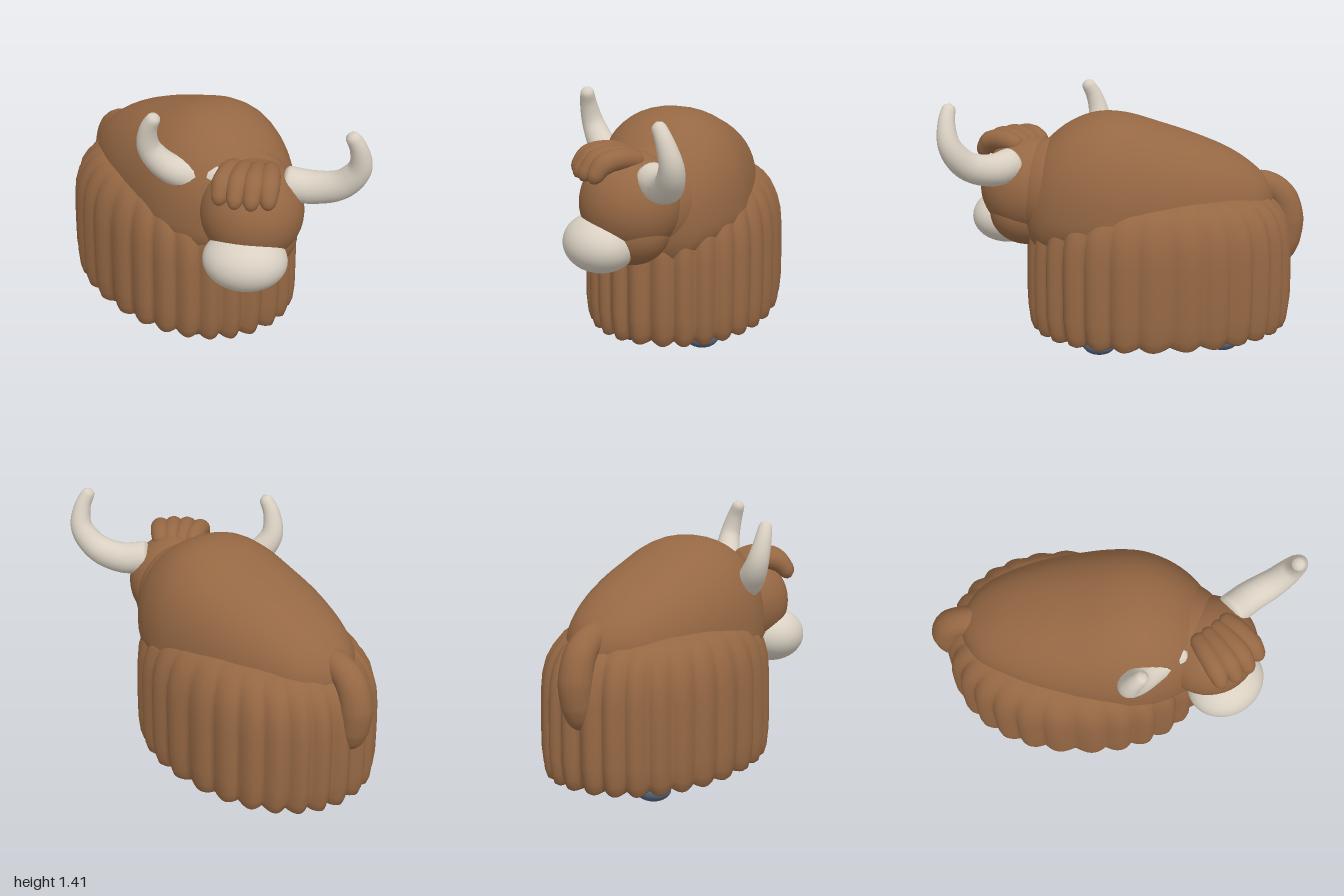
import * as THREE from 'three';
import { mergeVertices } from 'three/addons/utils/BufferGeometryUtils.js';

const mat = (name, color) => {
  const m = new THREE.MeshStandardMaterial({ color });
  m.name = name;
  return m;
};

// Weld and smooth a geometry
function smooth(geo) {
  geo.deleteAttribute('uv');
  geo.deleteAttribute('normal');
  const g = mergeVertices(geo, 1e-5);
  g.computeVertexNormals();
  return g;
}

// Skin over rows of closed rings; point(i, angle) returns [x, y, z]
function loft(rows, sides, point) {
  const pos = [], idx = [];
  for (let i = 0; i < rows; i++) {
    for (let j = 0; j < sides; j++) {
      pos.push(...point(i, (j / sides) * Math.PI * 2));
      if (i === rows - 1) continue;
      const k = (j + 1) % sides, a = i * sides + j, c = i * sides + k;
      idx.push(a, a + sides, c, c, a + sides, c + sides);
    }
  }
  const g = new THREE.BufferGeometry();
  g.setAttribute('position', new THREE.Float32BufferAttribute(pos, 3));
  g.setIndex(idx);
  return smooth(g);
}

// Tube whose radius follows a list of values, with rounded ends
function taperedTube(points, radii, cap = 0.08) {
  const path = new THREE.CatmullRomCurve3(points.map(p => new THREE.Vector3(...p)));
  const segs = 48, sides = 18;
  const geo = new THREE.TubeGeometry(path, segs, 1, sides);
  const pos = geo.attributes.position, v = new THREE.Vector3();
  for (let i = 0; i <= segs; i++) {
    const t = i / segs, f = t * (radii.length - 1), k = Math.min(Math.floor(f), radii.length - 2);
    const end = Math.max(0, 1 - Math.min(t, 1 - t) / cap);
    const r = THREE.MathUtils.lerp(radii[k], radii[k + 1], f - k) * Math.sqrt(1 - end * end);
    const c = path.getPointAt(t);
    for (let j = 0; j <= sides; j++) {
      const n = i * (sides + 1) + j;
      v.fromBufferAttribute(pos, n).sub(c).multiplyScalar(r).add(c);
      pos.setXYZ(n, v.x, v.y, v.z);
    }
  }
  return smooth(geo);
}

export function createModel() {
  const model = new THREE.Group();
  model.name = 'shaggyOx';
  const fur = mat('brown fur', 0x966844);
  const cream = mat('cream horn', 0xd9d0c2);
  const slate = mat('slate hoof', 0x56657a);

  const add = (name, geo, material, parent = model) => {
    const m = new THREE.Mesh(geo, material);
    m.name = name;
    parent.add(m);
    return m;
  };
  const ball = (name, material, center, radii, parent = model) => {
    const m = add(name, new THREE.SphereGeometry(1, 40, 28), material, parent);
    m.position.set(...center);
    m.scale.set(...radii);
    return m;
  };

  // Humped back: stations of x, top height, half width
  const spine = new THREE.CatmullRomCurve3([
    [-0.84, 0.82, 0.0], [-0.78, 0.94, 0.14], [-0.7, 1.02, 0.23], [-0.58, 1.1, 0.295],
    [-0.4, 1.18, 0.36], [-0.2, 1.25, 0.4], [0, 1.31, 0.42], [0.15, 1.315, 0.415],
    [0.3, 1.26, 0.37], [0.42, 1.165, 0.3], [0.5, 1.05, 0.22], [0.55, 0.93, 0.12], [0.57, 0.82, 0],
  ].map(p => new THREE.Vector3(...p)));
  const pow = v => Math.sign(v) * Math.abs(v) ** 0.88;
  add('back', loft(61, 48, (i, a) => {
    const s = spine.getPoint(i / 60), sn = Math.sin(a);
    const h = sn > 0 ? s.y - 0.8 : Math.min(0.25, s.z);
    return [s.x, 0.8 + h * pow(sn), Math.max(s.z, 0) * pow(Math.cos(a))];
  }), fur);

  // Hanging coat: profile of scale, height, lock depth, from inner ceiling to outer top
  const profile = [
    [0, 0.5, 0, 0], [0.6, 0.5, 0, 0], [0.84, 0.44, 0.6, 0], [0.89, 0.3, 1, 0], [0.89, 0.18, 1, 0.5],
    [0.905, 0.14, 1, 1], [0.93, 0.128, 1, 1], [0.96, 0.14, 1, 1], [0.985, 0.18, 1, 0.6], [1, 0.26, 1, 0],
    [1, 0.42, 1, 0], [0.995, 0.56, 0.9, 0], [0.98, 0.66, 0.8, 0], [0.945, 0.74, 0.7, 0],
    [0.89, 0.8, 0.5, 0], [0.82, 0.85, 0.25, 0], [0.72, 0.89, 0, 0], [0.5, 0.9, 0, 0],
  ];
  const superPow = v => Math.sign(v) * Math.abs(v) ** 0.92;
  add('hangingCoat', loft(profile.length, 280, (i, a) => {
    const [s, y, depth, dip] = profile[i];
    const lock = Math.abs(Math.sin(a * 14));
    const r = s * (1 - 0.05 * depth * (1 - lock));
    return [-0.19 + 0.74 * r * superPow(Math.cos(a)), y - 0.022 * dip * lock, 0.53 * r * superPow(Math.sin(a))];
  }), fur);

  // Tail
  add('tail', taperedTube(
    [[-0.66, 0.9, 0], [-0.77, 0.9, 0], [-0.87, 0.83, 0], [-0.912, 0.7, 0], [-0.905, 0.56, 0], [-0.88, 0.44, 0]],
    [0.06, 0.075, 0.085, 0.09, 0.08, 0.045], 0.12), fur);

  // Legs and hooves
  for (const x of [-0.52, 0.165]) {
    for (const z of [-0.195, 0.195]) {
      const leg = add('leg', new THREE.CylinderGeometry(0.075, 0.055, 0.45, 20), fur);
      leg.position.set(x, 0.32, z);
      ball('hoof', slate, [x, 0.062, z], [0.093, 0.058, 0.093]);
    }
  }

  // Neck
  ball('neck', fur, [0.36, 0.88, 0.03], [0.27, 0.3, 0.29]);

  // Head, turned toward its left
  const head = new THREE.Group();
  head.name = 'head';
  head.position.set(0.52, 0.9, 0.09);
  head.rotation.y = 0.69;
  model.add(head);
  ball('skull', fur, [0, 0, 0], [0.27, 0.27, 0.27], head);
  ball('jaw', fur, [0, -0.13, 0], [0.24, 0.2, 0.2], head);
  ball('muzzle', cream, [0, -0.197, 0.174], [0.22, 0.155, 0.19], head);

  // Horns, mirrored
  for (const s of [-1, 1]) {
    const path = [[0.14, 0.16, -0.04], [0.3, 0.145, -0.045], [0.45, 0.19, -0.02],
      [0.54, 0.3, 0.005], [0.535, 0.42, 0.035], [0.487, 0.517, 0.06]];
    add('horn', taperedTube(path.map(([x, y, z]) => [s * x, y, z]),
      [0.09, 0.088, 0.08, 0.068, 0.05, 0.033], 0.05), cream, head);
  }

  // Forelock
  for (let i = 0; i < 4; i++) {
    const u = i - 1.5, bow = 0.012 * (2.25 - u * u);
    add('forelock', taperedTube(
      [[u * 0.055, 0.23, -0.03], [u * 0.068, 0.255, 0.08], [u * 0.078, 0.238 + bow * 0.5, 0.19], [u * 0.084, 0.15, 0.265 + bow]],
      [0.045, 0.055, 0.055, 0.035], 0.14), fur, head);
  }
  return model;
}
